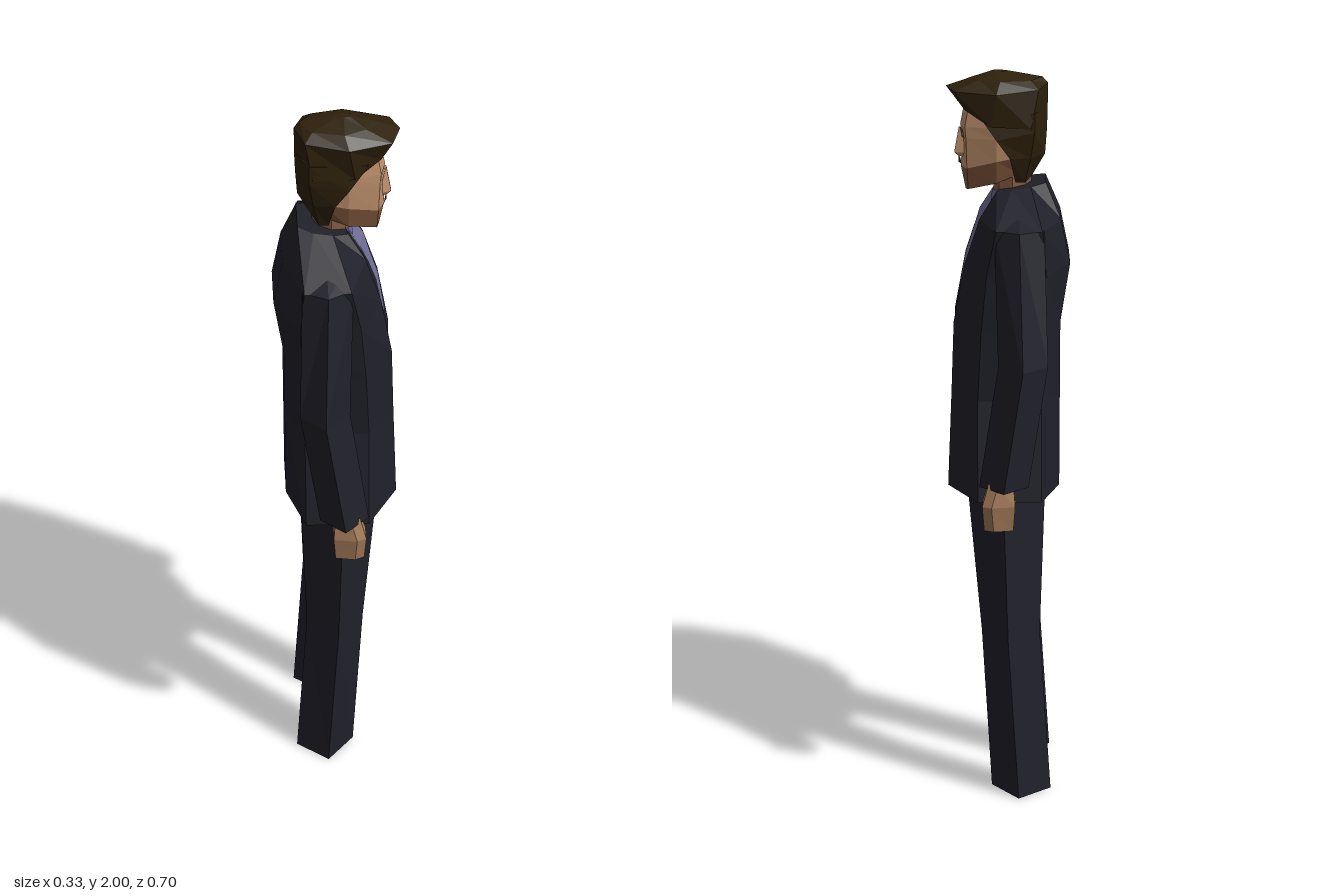
import * as THREE from 'three';

const mat = (name, color) => {
  const m = new THREE.MeshStandardMaterial({ color, flatShading: true });
  m.name = name;
  return m;
};

// Completes a half ring (z >= 0, front to back) by mirroring it
const sym = (half) => [
  ...half,
  ...half.filter((p) => p[2] > 0).reverse().map(([x, y, z]) => [x, y, -z]),
];
const mirrorRings = (rings) => rings.map((r) => r.map(([x, y, z]) => [x, y, -z]));

const fromTriangles = (tris, material, name) => {
  const g = new THREE.BufferGeometry();
  g.setAttribute('position', new THREE.Float32BufferAttribute(tris.flat(2), 3));
  g.computeVertexNormals();
  const mesh = new THREE.Mesh(g, material);
  mesh.name = name;
  return mesh;
};

// Closed faceted solid through rings of equal point count
function loft(rings, material, name) {
  const tris = [];
  const n = rings[0].length;
  const mid = (r) => [0, 1, 2].map((k) => r.reduce((s, p) => s + p[k], 0) / n);
  const last = rings[rings.length - 1];
  const c0 = mid(rings[0]), c1 = mid(last);
  for (let j = 0; j < n; j++) {
    const k = (j + 1) % n;
    for (let i = 0; i < rings.length - 1; i++) {
      const a = rings[i][j], b = rings[i][k], c = rings[i + 1][k], d = rings[i + 1][j];
      tris.push([a, b, c], [a, c, d]);
    }
    tris.push([c0, rings[0][k], rings[0][j]], [c1, last[j], last[k]]);
  }
  // Turn the faces outwards
  const vol = tris.reduce((s, [a, b, c]) => s + new THREE.Vector3(...a).dot(
    new THREE.Vector3(...b).cross(new THREE.Vector3(...c))), 0);
  if (vol < 0) tris.forEach((t) => t.reverse());
  return fromTriangles(tris, material, name);
}

// Thin face detail from rows [y, zInner, zOuter], laid on a front surface x = f(y, z)
function strip(rows, side, f, material, name) {
  const tris = [];
  const pt = (y, z) => [f(y, z), y, z * side];
  for (let i = 0; i < rows.length - 1; i++) {
    const [y0, i0, o0] = rows[i], [y1, i1, o1] = rows[i + 1];
    const a = pt(y0, i0), b = pt(y0, o0), c = pt(y1, i1), d = pt(y1, o1);
    tris.push(...(side > 0 ? [[a, b, d], [a, d, c]] : [[a, d, b], [a, c, d]]));
  }
  return fromTriangles(tris, material, name);
}

export function createModel() {
  const model = new THREE.Group();
  model.name = 'manInSuit';
  const suit = mat('suit', 0x20202a);
  const shirt = mat('shirt', 0x716f98);
  const skin = mat('skin', 0xc4946f);
  const handSkin = mat('handSkin', 0xa67d5c);
  const stubble = mat('stubble', 0x84593f);
  const hair = mat('hair', 0x2e210c);
  const add = (m) => model.add(m);

  // Jacket: [y, front centre x, front panel, side front, side back, back]
  const jacketRows = [
    [0.88, 0.147, [0.163, 0.08], [0.08, 0.228], [-0.09, 0.228], [-0.14, 0.075]],
    [1.15, 0.135, [0.152, 0.075], [0.08, 0.187], [-0.09, 0.187], [-0.14, 0.07]],
    [1.34, 0.13, [0.145, 0.08], [0.07, 0.2], [-0.095, 0.2], [-0.14, 0.075]],
    [1.5, 0.1, [0.115, 0.08], [0.055, 0.215], [-0.1, 0.22], [-0.165, 0.075]],
    [1.62, 0.06, [0.075, 0.075], [0.03, 0.235], [-0.09, 0.235], [-0.14, 0.075]],
    [1.69, 0.02, [0.03, 0.06], [-0.01, 0.08], [-0.06, 0.08], [-0.1, 0.06]],
  ];
  const jacket = jacketRows.map(([y, f, ...ps], i) => sym([
    [f, y, 0],
    ...ps.map(([x, z], k) => [x, i === 5 ? y + k * 0.008 : y, z]),
  ]));
  // Lining recessed above the hem
  const lining = jacket[0].map(([x, , z]) => [x * 0.95, 0.93, z * 0.95]);
  add(loft([lining, ...jacket], suit, 'jacket'));

  // Shirt showing above and below the button
  const chestX = (y, z) => {
    let i = 0;
    while (i < jacketRows.length - 2 && y > jacketRows[i + 1][0]) i++;
    const [A, B] = [jacketRows[i], jacketRows[i + 1]];
    const at = (r) => r[1] + (r[2][0] - r[1]) * (z / r[2][1]);
    return at(A) + (at(B) - at(A)) * ((y - A[0]) / (B[0] - A[0])) + 0.004;
  };
  const shirtRows = [[1.685, 0, 0.055], [1.62, 0, 0.064], [1.6, 0, 0.062], [1.56, 0.014, 0.058],
    [1.5, 0.02, 0.06], [1.45, 0.023, 0.056], [1.38, 0.037, 0.045]];
  const bellyRows = [[1.17, 0, 0.036], [1.15, 0, 0.042], [1.08, 0, 0.042], [1.05, 0, 0.028], [1.015, 0, 0.02]];

  // Facial details follow the front of the head
  const eyeX = (y, z) => 0.125 - 0.2 * z + (y - 1.83) * 0.17;
  const lipX = (y, z) => 0.131 - 0.36 * z;

  for (const s of [1, -1]) {
    const side = s > 0 ? 'left' : 'right';
    const put = (rings, material, part) =>
      add(loft(s > 0 ? rings : mirrorRings(rings), material, side + part));
    add(strip(shirtRows, s, chestX, shirt, side + 'ShirtFront'));
    add(strip(bellyRows, s, chestX, shirt, side + 'ShirtBelly'));
    add(strip([[1.855, 0.014, 0.055], [1.828, 0.016, 0.055]], s, eyeX, stubble, side + 'Eye'));
    add(strip([[1.773, 0, 0.012], [1.757, 0, 0.026]], s, lipX, hair, side + 'Moustache'));

    // Trouser leg, four-sided with corners forward: [y, back x, front x, inner z, outer z]
    const legRing = ([y, b, f, i, o]) => {
      const x = (b + f) / 2, z = (i + o) / 2;
      return [[f, y, z - 0.015], [x + 0.007, y, o], [b, y, z + 0.005], [x + 0.025, y, i]];
    };
    put([[0, -0.12, 0.045, 0.065, 0.215], [0.47, -0.088, 0.072, 0.055, 0.208],
      [0.86, -0.1, 0.108, 0.004, 0.205], [0.935, -0.1, 0.108, 0, 0.2]].map(legRing), suit, 'Leg');

    // Sleeve: [y, centre x, half depth, inner z, front edge z, outer z]
    const armRing = ([y, x, d, i, f, o]) => [
      [x + d, y, f], [x, y, o], [x - d, y, f + 0.005], [x - d * 0.4, y, i], [x + d * 0.4, y, i],
    ];
    put([[1.643, -0.03, 0.035, 0.16, 0.175, 0.19], [1.62, -0.03, 0.065, 0.17, 0.22, 0.26],
      [1.27, -0.04, 0.065, 0.205, 0.266, 0.335],
      [0.945, 0.01, 0.065, 0.235, 0.285, 0.35]].map(armRing), suit, 'Sleeve');

    // Hand
    const handRing = ([y, b, f, i, o]) => [
      [f, y, i + 0.012], [f, y, o - 0.012], [f - 0.025, y, o],
      [b, y, o - 0.01], [b, y, i + 0.01], [f - 0.025, y, i],
    ];
    put([[0.96, -0.015, 0.05, 0.265, 0.32], [0.9, -0.02, 0.067, 0.255, 0.33],
      [0.83, -0.015, 0.062, 0.264, 0.32]].map(handRing), handSkin, 'Hand');
  }

  // Neck and shirt collar
  const tube = (r0, r1, h, y, material, name) => {
    const m = new THREE.Mesh(new THREE.CylinderGeometry(r0, r1, h, 8), material);
    m.position.set(-0.012, y, 0);
    m.name = name;
    add(m);
  };
  tube(0.048, 0.054, 0.16, 1.68, stubble, 'neck');
  tube(0.054, 0.06, 0.05, 1.66, shirt, 'collar');

  // Head: stubbled jaw below, face above
  const mouth = sym([[0.125, 1.748, 0], [0.108, 1.748, 0.045], [0.03, 1.77, 0.071],
    [-0.04, 1.785, 0.07], [-0.08, 1.78, 0]]);
  const chin = sym([[0.112, 1.685, 0], [0.105, 1.69, 0.03], [0.03, 1.71, 0.055],
    [-0.03, 1.735, 0.05], [-0.06, 1.74, 0]]);
  add(loft([chin, mouth], stubble, 'jaw'));
  add(loft([
    mouth,
    sym([[0.12, 1.83, 0], [0.11, 1.83, 0.055], [0.03, 1.83, 0.08], [-0.05, 1.83, 0.075], [-0.085, 1.83, 0]]),
    sym([[0.126, 1.86, 0], [0.113, 1.86, 0.056], [0.03, 1.86, 0.083], [-0.05, 1.86, 0.078], [-0.085, 1.86, 0]]),
    sym([[0.112, 1.93, 0], [0.1, 1.93, 0.058], [0.03, 1.93, 0.08], [-0.05, 1.93, 0.075], [-0.08, 1.93, 0]]),
  ], skin, 'face'));
  add(loft([
    sym([[0.13, 1.85, 0.007], [0.11, 1.85, 0.012]]),
    sym([[0.142, 1.785, 0.01], [0.11, 1.785, 0.021]]),
    sym([[0.13, 1.774, 0.008], [0.11, 1.774, 0.016]]),
  ], skin, 'nose'));

  // Hair: swept top, then back and sideburns
  add(loft([
    sym([[0.122, 1.915, 0], [0.112, 1.905, 0.06], [0.045, 1.865, 0.09], [-0.06, 1.86, 0.086], [-0.104, 1.87, 0]]),
    sym([[0.163, 1.96, 0], [0.14, 1.955, 0.07], [0.03, 1.95, 0.1], [-0.08, 1.96, 0.075], [-0.105, 1.968, 0]]),
    sym([[0.09, 1.985, 0], [0.075, 1.982, 0.045], [0.02, 1.98, 0.07], [-0.06, 1.98, 0.05], [-0.09, 1.984, 0]]),
    sym([[0.04, 2, 0], [0.037, 2, 0.01], [0.02, 2, 0.012], [0, 1.998, 0.01], [-0.01, 1.998, 0]]),
  ], hair, 'hairTop'));
  add(loft([
    sym([[-0.02, 1.712, 0], [-0.02, 1.712, 0.052], [-0.045, 1.712, 0.05], [-0.06, 1.715, 0]]),
    sym([[-0.005, 1.78, 0], [-0.005, 1.78, 0.08], [-0.06, 1.78, 0.07], [-0.098, 1.78, 0]]),
    sym([[0.03, 1.83, 0], [0.03, 1.83, 0.089], [-0.07, 1.85, 0.083], [-0.103, 1.85, 0]]),
    sym([[0.08, 1.9, 0], [0.08, 1.9, 0.083], [-0.07, 1.9, 0.084], [-0.104, 1.9, 0]]),
  ], hair, 'hairBack'));

  return model;
}
